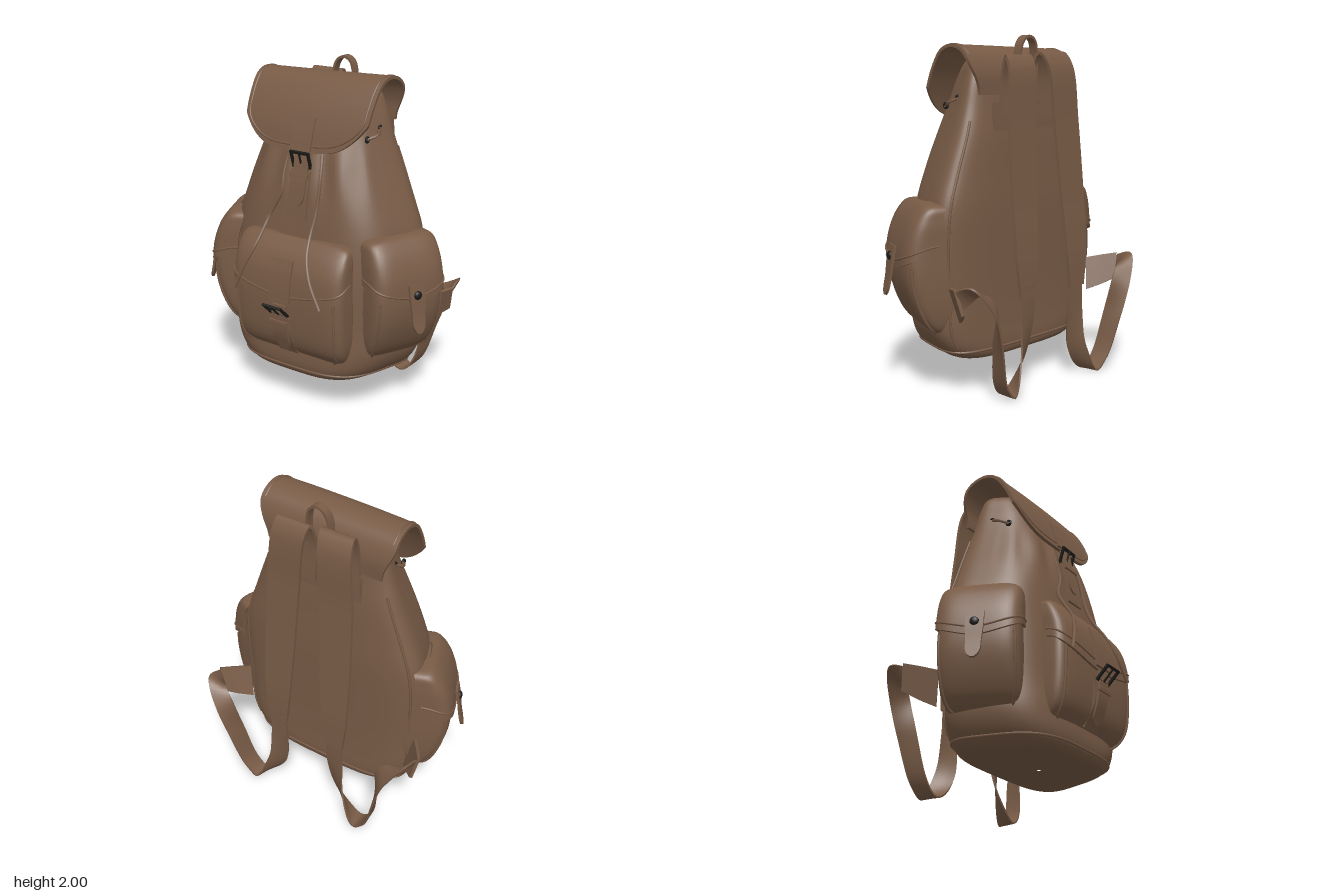
import * as THREE from 'three';
import { mergeGeometries, mergeVertices } from 'three/addons/utils/BufferGeometryUtils.js';

const V = (x, y, z) => new THREE.Vector3(x, y, z);
const { lerp, smoothstep } = THREE.MathUtils;

// Grid surface from f(u, v) -> Vector3, facing du x dv
function surface(f, nu, nv) {
  const pos = [], idx = [];
  for (let j = 0; j <= nv; j++)
    for (let i = 0; i <= nu; i++) pos.push(...f(i / nu, j / nv).toArray());
  for (let j = 0; j < nv; j++)
    for (let i = 0; i < nu; i++) {
      const a = j * (nu + 1) + i, d = a + nu + 1;
      idx.push(a, a + 1, d + 1, a, d + 1, d);
    }
  let g = new THREE.BufferGeometry();
  g.setAttribute('position', new THREE.Float32BufferAttribute(pos, 3));
  g.setIndex(idx);
  g = mergeVertices(g, 1e-5);
  g.computeVertexNormals();
  return g;
}

// Closed sheet of leather: the surface f thickened inwards, with crisp rims
function slab(f, nu, nv, t) {
  const inner = (u, v) => {
    const e = 0.004, u0 = Math.max(0, u - e), u1 = Math.min(1, u + e);
    const v0 = Math.max(0, v - e), v1 = Math.min(1, v + e);
    const n = f(u1, v).sub(f(u0, v)).cross(f(u, v1).sub(f(u, v0))).normalize();
    return f(u, v).addScaledVector(n, -t);
  };
  const rim = (u, v, s) => inner(u, v).lerp(f(u, v), s);
  return mergeGeometries([
    surface(f, nu, nv),
    surface((u, v) => inner(1 - u, v), nu, nv),
    surface((u, s) => rim(u, 0, s), nu, 1),
    surface((u, s) => rim(u, 1, 1 - s), nu, 1),
    surface((v, s) => rim(1, v, s), nv, 1),
    surface((v, s) => rim(0, v, 1 - s), nv, 1),
  ]);
}

// Strap along pts; sides gives the width direction, widths the half widths
function ribbon(pts, sides, widths, { tip = false, t = 0.014, n = 24 } = {}) {
  const path = new THREE.CatmullRomCurve3(pts.map(p => V(...p)));
  const S = sides.length > 1 ? new THREE.CatmullRomCurve3(sides.map(p => V(...p))) : null;
  const f = (u, v) => {
    const k = v * (widths.length - 1), i = Math.min(Math.floor(k), Math.max(0, widths.length - 2));
    let w = widths.length > 1 ? lerp(widths[i], widths[i + 1], k - i) : widths[0];
    if (tip && v > 0.8) w *= Math.sqrt(Math.max(0.06, 1 - ((v - 0.8) / 0.2) ** 2));
    const side = (S ? S.getPoint(v) : V(...sides[0])).normalize();
    return path.getPoint(v).addScaledVector(side, w * (2 * u - 1));
  };
  return slab(f, 4, n, t);
}

// Rounded-rectangle cross-sections, narrower in front by taper;
// rows are [y, half width, front z, back z]
function sections(rows, n, taper = 0) {
  const A = new THREE.CatmullRomCurve3(rows.map(r => V(r[0], r[1], r[2])));
  const B = new THREE.CatmullRomCurve3(rows.map(r => V(r[0], r[1], r[3])));
  return (a, v, grow = 0) => {
    const p = A.getPoint(v), zb = B.getPoint(v).z;
    const c = Math.cos(a), s = Math.sin(a);
    const r = (Math.abs(c) ** n + Math.abs(s) ** n) ** (-1 / n);
    const zr = (p.z - zb) / 2;
    return V((p.y + grow) * c * r * (1 - taper * (s * r + 0.4)), p.x + grow * v * v,
      (p.z + zb) / 2 + (zr + grow) * s * r);
  };
}

const cord = (pts, r, closed = false, n = 48) =>
  new THREE.TubeGeometry(new THREE.CatmullRomCurve3(pts, closed), n, r, 6, closed);
const samples = (n, fn) => Array.from({ length: n + 1 }, (_, i) => fn(i / n));

export function createModel() {
  const leather = new THREE.MeshStandardMaterial({ color: 0x785b46 });
  leather.name = 'brownLeather';
  const metal = new THREE.MeshStandardMaterial({ color: 0x1c1b1a });
  metal.name = 'blackMetal';

  const model = new THREE.Group();
  model.name = 'backpack';
  const add = (name, geo, mat = leather, parent = model) => {
    const m = new THREE.Mesh(geo, mat);
    m.name = name;
    parent.add(m);
    return m;
  };

  // Main bag, gathered into soft pleats near the neck
  const bag = sections([
    [0.18, 0.01, 0.06, 0.04], [0.182, 0.36, 0.22, -0.2], [0.205, 0.47, 0.33, -0.25],
    [0.27, 0.55, 0.36, -0.26], [0.37, 0.6, 0.36, -0.255], [0.55, 0.61, 0.345, -0.25], [0.8, 0.62, 0.33, -0.25],
    [1.05, 0.605, 0.3, -0.25], [1.25, 0.535, 0.27, -0.24], [1.45, 0.455, 0.22, -0.23],
    [1.6, 0.4, 0.17, -0.21], [1.75, 0.355, 0.115, -0.19], [1.85, 0.31, 0.06, -0.16],
    [1.9, 0.2, 0, -0.11], [1.91, 0.01, -0.05, -0.06]], 3.6, 0.18);
  add('mainBag', surface((u, v) => {
    const a = -2 * Math.PI * u, p = bag(a, v);
    const pleat = Math.exp(-(((p.y - 1.42) / 0.17) ** 2)) * Math.max(0, Math.sin(a));
    p.z += 0.014 * pleat * Math.cos(14 * a);
    return p;
  }, 96, 64));

  // Piping round the base and up the edges of the back panel
  add('basePiping', cord(samples(47, t => bag(t * 2 * Math.PI * 47 / 48, 0.19)), 0.008, true, 96));
  for (const s of [1, -1])
    add('backPiping', cord(samples(14, t => bag(-Math.PI / 2 + s * 0.85, lerp(0.22, 0.68, t))), 0.008));

  // Top flap folded over the neck, narrowing to its seam at the back
  const fold = new THREE.CatmullRomCurve3([[-0.215, 1.66], [-0.21, 1.78], [-0.155, 1.895], [-0.05, 1.937],
    [0.045, 1.91], [0.125, 1.81], [0.19, 1.67], [0.232, 1.52]].map(([z, y]) => V(0, y, z)));
  const flap = (u, v) => {
    const s = 1 - 2 * u, d = v * (1 - 0.2 * Math.abs(s) ** 4);
    const p = fold.getPointAt(d);
    p.x = s * (0.44 - 0.035 * d * d - 0.07 * (1 - smoothstep(d, 0, 0.25))) - 0.01;
    p.z -= 0.02 * s * s * d;
    p.y += 0.012 * s;
    return p;
  };
  add('topFlap', slab(flap, 32, 40, 0.018));
  const flapHem = [...samples(8, t => flap(0.03, lerp(0.3, 0.93, t))),
    ...samples(16, t => flap(lerp(0.06, 0.94, t), 0.96)),
    ...samples(8, t => flap(0.97, lerp(0.93, 0.3, t)))];
  add('flapHem', cord(flapHem, 0.006, false, 90));

  // Pocket with a lid wrapping its top and sides
  function pocket(name, rows, edge) {
    const g = new THREE.Group();
    g.name = name;
    model.add(g);
    const sec = sections(rows, 4.8);
    add(name + 'Body', surface((u, v) => sec(-2 * Math.PI * u, v), 64, 32), leather, g);
    const low = a => edge + 0.07 * Math.abs(Math.cos(a)) ** 2;
    add(name + 'Lid', slab((u, v) => {
      const a = Math.PI * (1 - u);
      return sec(a, lerp(low(a), 0.985, v), 0.016);
    }, 40, 20, 0.014), leather, g);
    add(name + 'LidHem', cord(samples(24, t => {
      const a = Math.PI * (1 - t);
      return sec(a, low(a) + 0.03, 0.017);
    }), 0.006), leather, g);
    // raised seam down the front edges of the pocket
    for (const a of [0.75, Math.PI - 0.75])
      add(name + 'Seam', cord(samples(8, t => sec(a, lerp(0.12, 0.5, t), 0.002)), 0.008), leather, g);
    return g;
  }

  const front = pocket('frontPocket', [[0.325, 0.1, 0.31, 0.25], [0.34, 0.32, 0.345, 0.23], [0.42, 0.365, 0.415, 0.23],
    [0.63, 0.375, 0.445, 0.23], [0.85, 0.365, 0.43, 0.23], [0.96, 0.36, 0.385, 0.23],
    [1.02, 0.335, 0.335, 0.23], [1.035, 0.1, 0.3, 0.25]], 0.46);
  front.position.x = 0.03;

  for (const s of [1, -1]) {
    const g = pocket('sidePocket', [[0.35, 0.1, -0.08, -0.16], [0.37, 0.18, -0.03, -0.18], [0.45, 0.215, 0.045, -0.2],
      [0.65, 0.228, 0.12, -0.2], [0.85, 0.222, 0.118, -0.2], [0.99, 0.215, 0.07, -0.2],
      [1.06, 0.195, 0.015, -0.2], [1.08, 0.06, -0.04, -0.17]], 0.48);
    g.position.set(s * 0.58, 0, 0.063);
    g.rotation.y = s * 1.15;
    add('pocketStrap', ribbon([[0, 0.85, 0.137], [0, 0.77, 0.152], [0, 0.67, 0.165], [0, 0.57, 0.185]],
      [[1, 0, 0]], [0.05, 0.05, 0.042, 0.04], { tip: true }), leather, g);
    const stud = add('pocketStud', new THREE.SphereGeometry(0.026, 16, 10), metal, g);
    stud.position.set(0, 0.79, 0.162);
    stud.scale.z = 0.6;
  }

  // Buckle: rectangular frame and prong
  function buckle(y, z, tilt) {
    const rect = (w, h, Path) => new Path([[-w, -h], [w, -h], [w, h], [-w, h]].map(p => new THREE.Vector2(...p)));
    const shape = rect(0.065, 0.054, THREE.Shape);
    shape.holes.push(rect(0.051, 0.04, THREE.Path));
    const g = new THREE.Group();
    g.name = 'buckle';
    add('buckleFrame', new THREE.ExtrudeGeometry(shape, { depth: 0.014, bevelEnabled: false }), metal, g);
    add('buckleProng', new THREE.CylinderGeometry(0.006, 0.006, 0.11, 8), metal, g).position.z = 0.012;
    g.position.set(0.018, y, z);
    g.rotation.x = tilt;
    model.add(g);
  }
  const X = [[1, 0, 0]];
  const strap = (name, x, yz, w, tip) =>
    add(name, ribbon(yz.map(([y, z]) => [x, y, z]), X, [w], { tip }));

  // Upper closure
  strap('flapTab', 0.005, [[1.71, 0.168], [1.62, 0.2], [1.53, 0.226]], 0.07);
  strap('upperStrapPatch', 0.02, [[1.42, 0.233], [1.3, 0.263], [1.15, 0.284]], 0.066);
  strap('upperStrap', 0.02, [[1.53, 0.218], [1.44, 0.238], [1.34, 0.264], [1.22, 0.284]], 0.048, true);
  strap('upperStrapLoop', 0.02, [[1.41, 0.257], [1.395, 0.261], [1.38, 0.264]], 0.062);
  buckle(1.48, 0.238, 0.3);

  // Lower closure
  strap('pocketTab', 0.02, [[0.94, 0.418], [0.87, 0.441], [0.79, 0.455], [0.7, 0.463]], 0.073);
  strap('lowerStrapPatch', 0.02, [[0.6, 0.438], [0.48, 0.428], [0.36, 0.365]], 0.066);
  strap('lowerStrap', 0.02, [[0.68, 0.46], [0.6, 0.46], [0.5, 0.446], [0.38, 0.4]], 0.048, true);
  strap('lowerStrapLoop', 0.02, [[0.585, 0.47], [0.57, 0.47], [0.555, 0.468]], 0.062);
  buckle(0.66, 0.495, 0.8);

  // Drawstring ends hanging over the front
  const strings = [
    [[-0.08, 1.58, 0.17], [-0.1, 1.4, 0.24], [-0.1, 1.28, 0.27], [-0.165, 1.14, 0.298], [-0.18, 1.06, 0.345],
      [-0.2, 0.96, 0.41], [-0.25, 0.84, 0.452], [-0.3, 0.71, 0.47]],
    [[0.12, 1.58, 0.17], [0.15, 1.4, 0.24], [0.15, 1.2, 0.285], [0.145, 1.08, 0.335], [0.17, 0.97, 0.405],
      [0.22, 0.85, 0.45], [0.3, 0.71, 0.47]]];
  for (const p of strings) add('drawstring', cord(p.map(q => V(...q)), 0.01));

  for (const s of [1, -1]) {
    // Drawstring crossing between two eyelets at the side of the neck
    add('neckCord', cord([V(s * 0.34, 1.605, 0.07), V(s * 0.378, 1.625, 0.015), V(s * 0.355, 1.65, -0.04)], 0.009));
    for (const [x, y, z] of [[0.345, 1.605, 0.07], [0.358, 1.65, -0.04]]) {
      const e = add('eyelet', new THREE.TorusGeometry(0.014, 0.007, 8, 14), metal);
      e.position.set(s * x, y, z);
      e.rotation.y = Math.PI / 2;
    }

    // Shoulder strap: wide pad down the back
    const mirror = (a, dx = 0) => a.map(([x, y, z]) => [s * x + dx, y, z]);
    const shift = -0.015;
    add('shoulderStrap', ribbon(mirror([[0.14, 1.52, -0.235], [0.13, 1.78, -0.235], [0.14, 1.89, -0.28],
      [0.155, 1.82, -0.33], [0.18, 1.5, -0.355], [0.195, 1.1, -0.39], [0.205, 0.75, -0.42], [0.205, 0.55, -0.425]], shift),
      [[s, 0, 0]], [0.105, 0.105, 0.105, 0.105, 0.105, 0.1, 0.085, 0.06], { t: 0.018, n: 56 }));
    // narrow webbing looping under and round to the side
    add('strapWebbing', ribbon(mirror([[0.205, 0.62, -0.425], [0.205, 0.42, -0.42], [0.24, 0.18, -0.41],
      [0.36, 0.012, -0.42], [0.44, 0.08, -0.43], [0.51, 0.33, -0.47], [0.56, 0.54, -0.5], [0.65, 0.65, -0.455],
      [0.69, 0.6, -0.36]], shift),
      mirror([[1, 0, 0], [1, 0, -0.1], [0.7, 0.3, -0.6], [0.1, 0, -1], [0.1, 0, -1], [0.3, -0.1, -0.9],
        [0.7, -0.2, -0.6], [0.7, 0.4, -0.3], [0.3, 0.9, 0.1]]), [0.056], { t: 0.01, n: 64 }));
    add('strapAnchor', ribbon(mirror([[0.7, 0.59, -0.36], [0.645, 0.56, -0.29], [0.58, 0.53, -0.21]], shift),
      mirror([[0.2, 0.95, 0.2]]), [0.075, 0.09, 0.1], { t: 0.018 }));
  }

  // Reinforcing panel under the straps and the carry handle
  add('backPanel', ribbon([[-0.26, 1.55, -0.225], [0, 1.55, -0.235], [0.26, 1.55, -0.225]], [[0, 1, 0]], [0.08]));
  add('carryHandle', ribbon([[-0.07, 1.68, -0.225], [-0.076, 1.9, -0.225], [-0.05, 1.975, -0.23], [0, 2, -0.23],
    [0.05, 1.975, -0.23], [0.076, 1.9, -0.225], [0.07, 1.68, -0.225]], [[0, 0, 1]], [0.026], { n: 40 }));

  return model;
}
